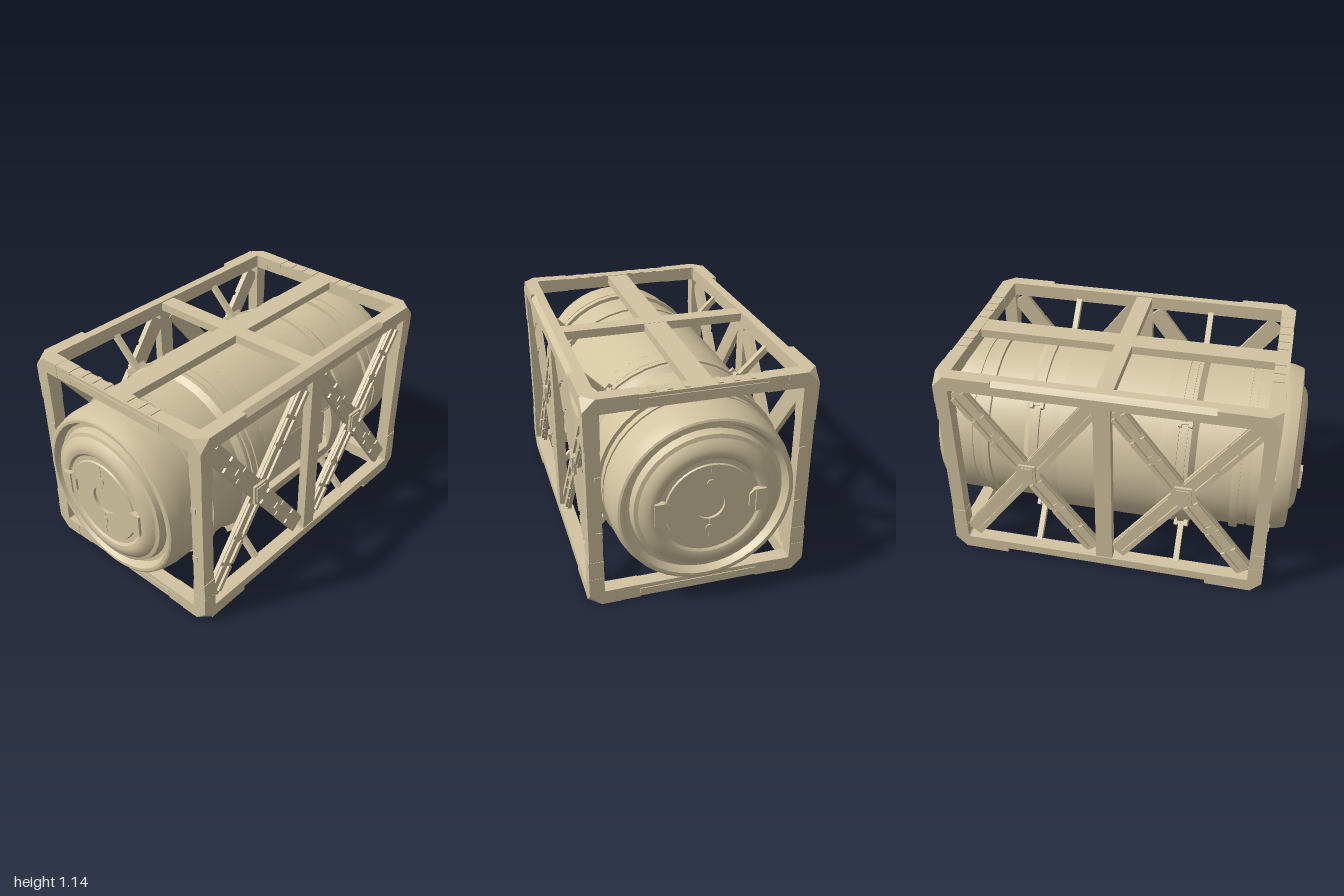
import * as THREE from 'three';
import { toCreasedNormals } from 'three/addons/utils/BufferGeometryUtils.js';
import { ConvexGeometry } from 'three/addons/geometries/ConvexGeometry.js';

const material = new THREE.MeshStandardMaterial({ color: 0xd2c3a0, side: THREE.DoubleSide });
const H = 0.57; // half height and half depth of the square frame
const E = 0.865; // half length of the frame

function add(parent, name, geometry, x = 0, y = 0, z = 0) {
  const mesh = new THREE.Mesh(geometry, material);
  mesh.name = name;
  mesh.position.set(x, y, z);
  parent.add(mesh);
  return mesh;
}
const box = (parent, name, w, h, d, x, y, z) =>
  add(parent, name, new THREE.BoxGeometry(w, h, d), x, y, z);

function group(parent, name) {
  const g = new THREE.Group();
  g.name = name;
  parent.add(g);
  return g;
}

// Surface of revolution about the x axis; profile is a list of [x, radius]
function turned(profile, start = 0, length = Math.PI * 2) {
  const points = profile.map(([x, r]) => new THREE.Vector2(r, x));
  const g = new THREE.LatheGeometry(points, 40, start, length);
  g.rotateZ(-Math.PI / 2);
  return toCreasedNormals(g, 0.4);
}

// One end of the tank, from the middle section to the cap
function tankHalf(parent, name) {
  const g = group(parent, name);
  add(g, 'tankShell', turned([
    [0.27, 0.49], [0.36, 0.49], [0.36, 0.478], [0.372, 0.478], [0.372, 0.495], [0.405, 0.495],
    [0.405, 0.485], [0.425, 0.485], [0.455, 0.46], [0.65, 0.46], [0.65, 0.48], [0.69, 0.48],
    [0.69, 0.46], [0.73, 0.46], [0.73, 0.452], [0.745, 0.452], [0.745, 0.46], [0.86, 0.46],
    [0.9, 0.454], [0.945, 0.44], [0.95, 0.43], [0.95, 0.415], [0.91, 0.395], [0.91, 0.375],
    [0.95, 0.365], [0.955, 0.345], [0.972, 0.325], [0.983, 0.3], [0.986, 0.28], [0.982, 0.262],
    [0.972, 0.25], [0.972, 0.225], [0.98, 0.22], [0.98, 0.075], [0.965, 0.075], [0.965, 0]]));
  for (const s of [-1, 1]) {
    const bolt = new THREE.CylinderGeometry(0.02, 0.02, 0.012, 16).rotateZ(Math.PI / 2);
    add(g, 'capBolt', bolt, 0.981, s * 0.125, 0);
    box(g, 'capSeam', 0.004, 0.14, 0.004, 0.98, s * 0.148, 0);
    // Latch: outer block with a tapered tongue reaching over the cap
    box(g, 'capLatch', 0.045, 0.12, 0.05, 0.9775, 0, s * 0.25);
    const tongue = new THREE.Shape([[0.225, 0.06], [0.195, 0.035], [0.195, -0.035], [0.225, -0.06]]
      .map(([a, b]) => new THREE.Vector2(a, b)));
    const geo = new THREE.ExtrudeGeometry(tongue, { depth: 0.025, bevelEnabled: false });
    geo.rotateY(-Math.PI / 2);
    const mesh = add(g, 'latchTongue', geo, 0.992, 0, 0);
    if (s < 0) mesh.rotation.x = Math.PI;
  }
  return g;
}

function buildTank(parent) {
  const tank = group(parent, 'tank');
  tankHalf(tank, 'leftTankEnd');
  tankHalf(tank, 'rightTankEnd').rotation.y = Math.PI;
  // Middle section, open at the front for the recessed panel
  const a = Math.asin(0.135 / 0.49);
  add(tank, 'tankMiddle', turned([[-0.27, 0.49], [0.27, 0.49]], a, Math.PI * 2 - 2 * a));
  box(tank, 'recessFloor', 0.56, 0.28, 0.02, 0, 0, 0.42);
  for (const s of [-1, 1]) {
    box(tank, 'recessLedge', 0.54, 0.008, 0.05, 0, s * 0.138, 0.446);
    const cheek = new THREE.Shape();
    cheek.moveTo(0.42, -0.135);
    cheek.absarc(0, 0, 0.489, -a, a, false);
    cheek.lineTo(0.42, 0.135);
    const geo = new THREE.ExtrudeGeometry(cheek, { depth: 0.006, bevelEnabled: false, curveSegments: 8 });
    geo.rotateY(-Math.PI / 2);
    add(tank, 'recessCheek', geo, s > 0 ? 0.277 : -0.271, 0, 0);
  }
  // Strap clamps and stays reaching to the frame corners
  for (const x of [-0.39, 0.39]) {
    for (let k = 0; k < 4; k++) {
      const g = group(tank, 'stay');
      g.rotation.x = Math.PI / 4 + k * Math.PI / 2;
      box(g, 'stayRod', 0.03, 0.22, 0.03, x, 0.6, 0);
      box(g, 'clampBlock', 0.075, 0.025, 0.06, x, 0.495, 0);
      for (const s of [-1, 1]) {
        box(g, 'clampLug', 0.018, 0.04, 0.09, x + s * 0.028, 0.495, 0);
      }
    }
  }
}

// Long beam whose outer edge is chamfered between the end blocks
function longBeam(parent) {
  const i = 0.495, c = 0.545;
  const section = new THREE.Shape([[i, i], [H, i], [H, c], [c, H], [i, H]]
    .map(([z, y]) => new THREE.Vector2(-z, y)));
  const geo = new THREE.ExtrudeGeometry(section, { depth: 1.13, bevelEnabled: false });
  add(parent, 'longBeam', geo.rotateY(Math.PI / 2), -0.565, 0, 0);
  for (const s of [-1, 1]) {
    box(parent, 'longBeamEnd', 0.25, 0.075, 0.075, s * 0.685, 0.5325, 0.5325);
  }
}

function buildFrame(parent) {
  const frame = group(parent, 'frame');
  for (let k = 0; k < 4; k++) {
    const g = group(frame, 'frameSide');
    g.rotation.x = k * Math.PI / 2;
    longBeam(g);
    for (const s of [-1, 1]) {
      // Square end ring: posts and cross beams, with sleeves at the corners
      box(g, 'endBeam', 0.07, 0.07, 1.0, s * 0.826, 0.53, 0);
      for (const t of [-1, 1]) {
        box(g, 'cornerSleeve', 0.077, 0.077, 0.08, s * 0.8265, 0.5315, t * 0.45);
        box(g, 'beamSleeve', 0.074, 0.076, 0.1, s * 0.826, 0.531, t * 0.36);
      }
      if (k % 2 === 0) {
        box(g, 'endPad', 0.006, 0.03, 0.62, s * 0.863, 0.532, 0);
        for (const z of [0.08, 0.16, 0.24]) {
          for (const t of [-1, 1]) box(g, 'gripBar', 0.06, 0.008, 0.025, s * 0.82, 0.566, t * z);
        }
      } else {
        for (const z of [-0.155, 0.155]) box(g, 'postLug', 0.012, 0.03, 0.03, s * 0.86, 0.51, z);
      }
    }
  }
  // Corner castings with the outermost corner cut away
  const w = 0.08, cut = 0.06;
  for (const sx of [-1, 1]) for (const sy of [-1, 1]) for (const sz of [-1, 1]) {
    const points = [[cut, 0, 0], [0, cut, 0], [0, 0, cut], [w, 0, 0], [0, w, 0], [0, 0, w],
      [w, w, 0], [w, 0, w], [0, w, w], [w, w, w]]
      .map(([x, y, z]) => new THREE.Vector3(sx * (E - x), sy * (H - y), sz * (H - z)));
    add(frame, 'cornerCasting', new ConvexGeometry(points));
  }
  // Top spine and middle cross beam
  box(frame, 'topSpine', 1.6, 0.045, 0.12, 0, 0.54, -0.003);
  box(frame, 'topCrossBeam', 0.09, 0.045, 1.0, 0, 0.541, 0);
}

// One diagonal: flat plate with two rows of raised, segmented ribs
function diagonal(parent, angle) {
  const g = group(parent, 'diagonal');
  g.rotation.z = angle;
  box(g, 'diagonalPlate', 1.17, 0.1, 0.022, 0, 0, 0);
  for (const s of [-1, 1]) {
    for (const t of [-1, 1]) {
      for (const [from, to] of [[0.07, 0.25], [0.27, 0.4], [0.42, 0.56]]) {
        box(g, 'diagonalRib', to - from, 0.026, 0.018, s * (from + to) / 2, t * 0.032, 0.015);
      }
    }
    box(g, 'diagonalTie', 0.05, 0.09, 0.012, s * 0.26, 0, 0.012);
  }
}

function buildSide(parent, name) {
  const side = group(parent, name);
  box(side, 'middlePost', 0.09, 1.02, 0.05, 0, 0, 0.54);
  for (const x of [-0.415, 0.415]) {
    const brace = group(side, 'crossBrace');
    brace.position.set(x, 0, 0.522);
    for (const s of [-1, 1]) diagonal(brace, s * Math.atan(1.32));
    box(brace, 'braceHub', 0.09, 0.11, 0.04, 0, 0, 0.005);
    box(brace, 'braceHubPlate', 0.065, 0.085, 0.01, 0, 0, 0.026);
  }
  return side;
}

export function createModel() {
  const model = new THREE.Group();
  model.name = 'framedTank';
  const body = group(model, 'body');
  body.position.y = H;
  buildTank(body);
  buildFrame(body);
  buildSide(body, 'frontBracing');
  buildSide(body, 'backBracing').rotation.y = Math.PI;
  return model;
}
